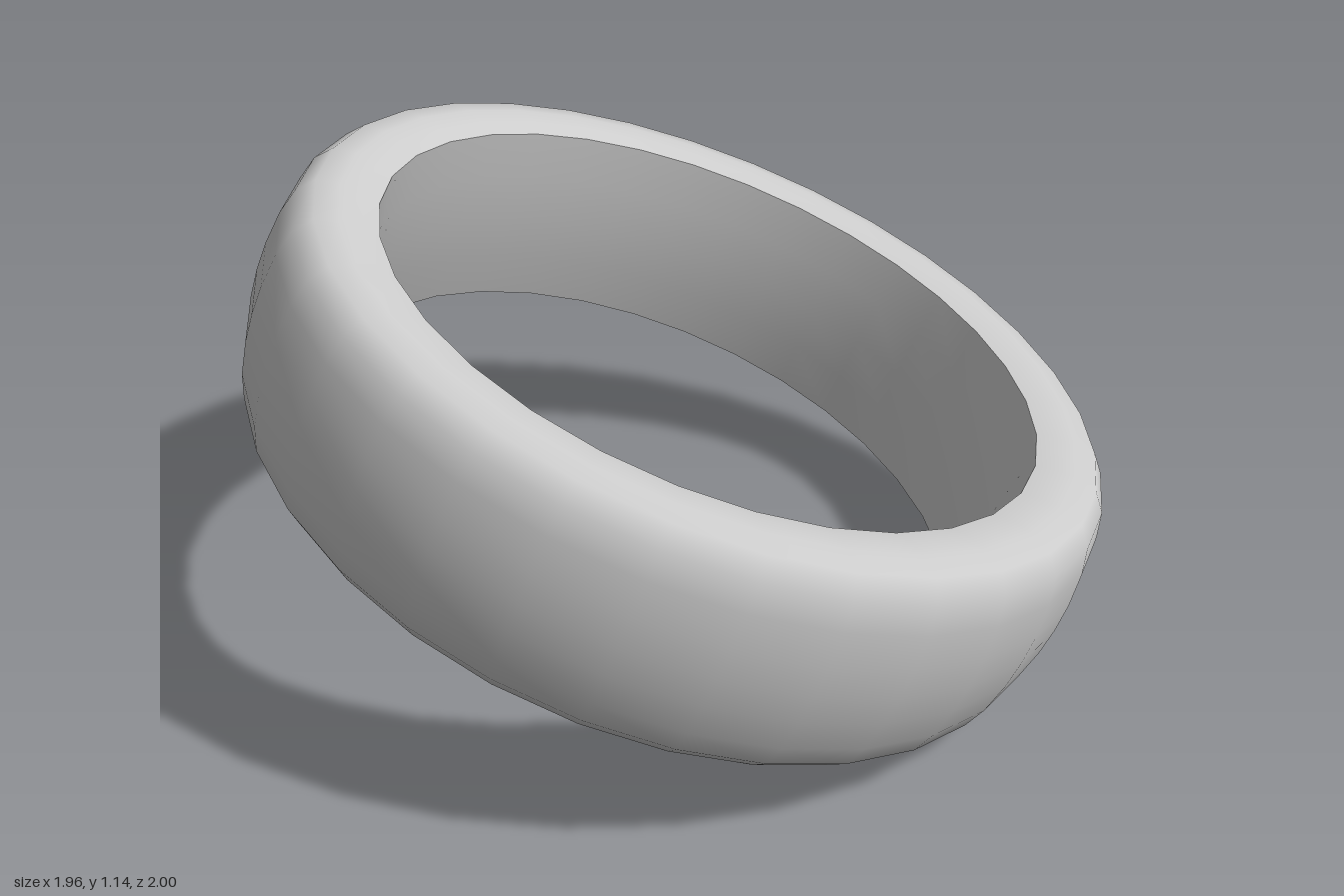
import * as THREE from 'three';

const SEGMENTS = 32;
const TILT = THREE.MathUtils.degToRad(21);

// Upper half of the domed outer profile: [radius, height], from mid-band to inner rim
const OUTER = [
  [1, 0], [0.997, 0.07], [0.986, 0.15], [0.968, 0.21],
  [0.933, 0.25], [0.88, 0.258], [0.83, 0.253], [0.79, 0.24],
];
// Upper half of the slightly bulged inner wall
const INNER = [[0.776, 0], [0.779, 0.12], [0.79, 0.24]];

// Mirror a half profile about mid-height, ordered bottom to top
function mirrored(half) {
  const lower = half.slice(1).reverse().map(([r, y]) => [r, -y]);
  return [...lower, ...half].map(([r, y]) => new THREE.Vector2(r, y));
}

export function createModel() {
  const group = new THREE.Group();
  group.name = 'ring';
  const material = new THREE.MeshStandardMaterial({ color: 0xcccccc });

  // Separate surfaces keep the inner rim edges crisp
  const band = new THREE.Group();
  band.name = 'band';
  const addSurface = (name, points) => {
    const mesh = new THREE.Mesh(new THREE.LatheGeometry(points, SEGMENTS), material);
    mesh.name = name;
    band.add(mesh);
  };
  addSurface('outerBand', mirrored(OUTER));
  addSurface('innerWall', mirrored(INNER).reverse());

  // Tilt the ring down toward +x and rest it on the ground
  band.rotation.z = -TILT;
  band.position.y = 0.565;
  group.add(band);
  return group;
}
